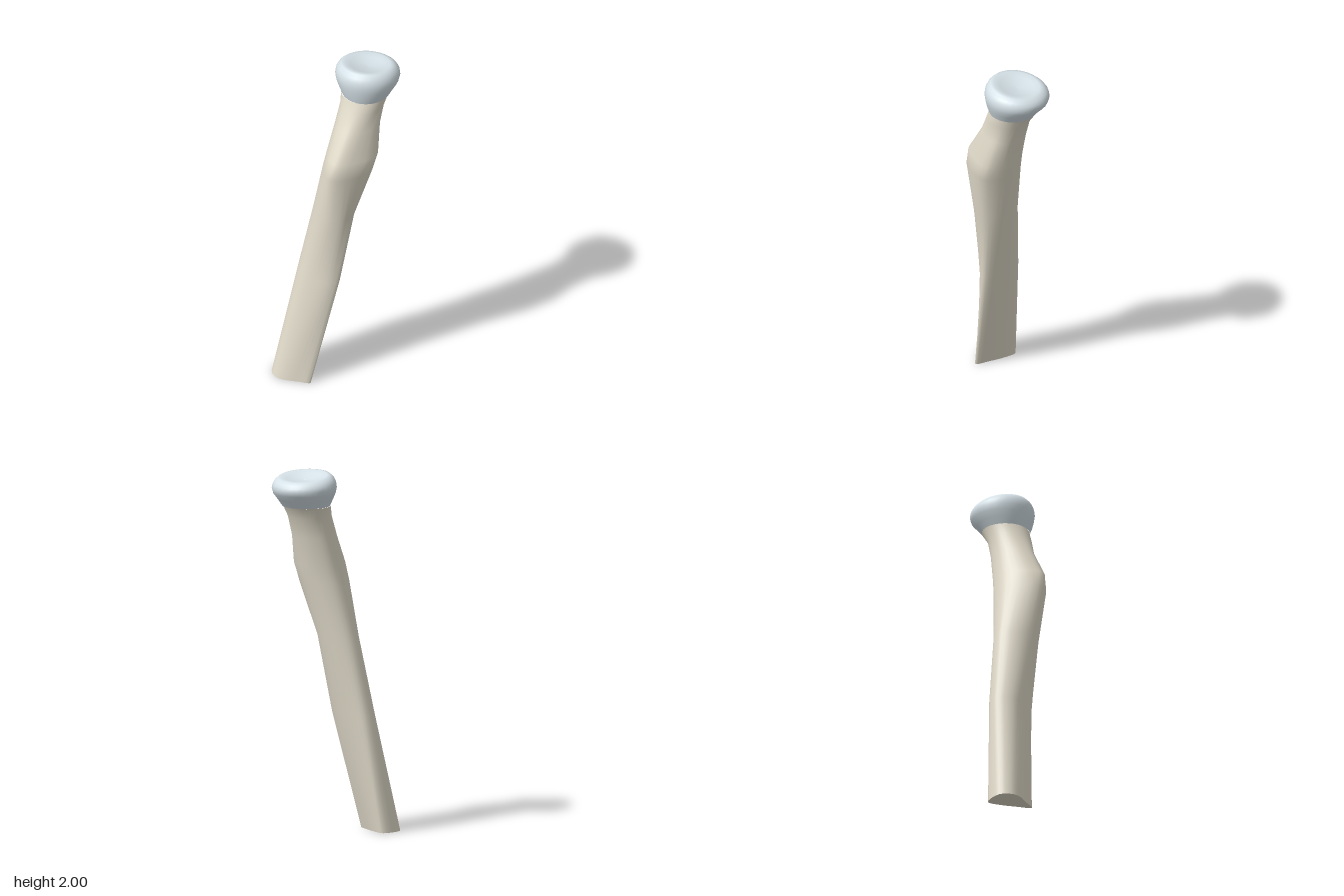
import * as THREE from 'three';

const SIDES = 32;
const { smoothstep } = THREE.MathUtils;

// Skin a stack of equal-length rings (bottom to top); optional flat cap below
function loft(rings, capBottom) {
  const pos = [], idx = [];
  const n = SIDES;
  rings.forEach(r => r.forEach(p => pos.push(p.x, p.y, p.z)));
  for (let i = 0; i < rings.length - 1; i++) {
    for (let j = 0; j < n; j++) {
      const a = i * n + j, b = i * n + (j + 1) % n;
      idx.push(a, a + n, b, b, a + n, b + n);
    }
  }
  if (capBottom) {
    const base = pos.length / 3;
    const mid = new THREE.Vector3();
    rings[0].forEach(p => { pos.push(p.x, p.y, p.z); mid.addScaledVector(p, 1 / n); });
    pos.push(mid.x, mid.y, mid.z);
    for (let j = 0; j < n; j++) idx.push(base + n, base + j, base + (j + 1) % n);
  }
  const g = new THREE.BufferGeometry();
  g.setAttribute('position', new THREE.Float32BufferAttribute(pos, 3));
  g.setIndex(idx);
  g.computeVertexNormals();
  return g;
}

// Closed smooth section through [x, z] points
function section(y, pts) {
  const curve = new THREE.CatmullRomCurve3(pts.map(([x, z]) => new THREE.Vector3(x, y, z)), true);
  return Array.from({ length: SIDES }, (_, j) => curve.getPoint(j / SIDES));
}

// Round section, tilted so the front sits higher
function disc(y, cx, cz, r, tilt = 0) {
  return Array.from({ length: SIDES }, (_, j) => {
    const a = (j / SIDES) * Math.PI * 2;
    const z = Math.sin(a) * r;
    return new THREE.Vector3(cx + Math.cos(a) * r, y + z * tilt, cz + z);
  });
}

export function createModel() {
  const group = new THREE.Group();
  const add = (name, geometry, color) => {
    const mesh = new THREE.Mesh(geometry, new THREE.MeshStandardMaterial({ color }));
    mesh.name = name;
    group.add(mesh);
  };

  // Shaft sections: left tip, front, right tip, then round the back
  const lower = [
    section(0, [[-.06, .235], [-.13, .252], [-.23, .268], [-.275, .25], [-.308, .195], [-.26, .085], [-.19, .12], [-.12, .178]]),
    section(.65, [[.065, .13], [.03, .168], [-.06, .18], [-.15, .165], [-.2, .1], [-.17, .028], [-.08, .025], [.02, .07]]),
    section(1.08, [[.13, .09], [.1, .165], [.03, .197], [-.06, .16], [-.115, .07], [-.09, 0], [-.01, -.028], [.09, .01]]),
  ];
  // Front bulge, then the round neck below the head
  const upper = [
    section(1.38, [[.222, .06], [.13, .195], [.055, .229], [0, .19], [-.055, .06], [-.03, -.04], [.06, -.08], [.165, -.05]]),
    section(1.48, [[.245, .03], [.15, .17], [.075, .21], [.01, .165], [-.035, .045], [-.01, -.06], [.08, -.097], [.18, -.067]]),
    section(1.64, [[.23, -.015], [.18, .075], [.105, .12], [.03, .09], [-.01, 0], [.02, -.095], [.1, -.133], [.2, -.095]]),
    disc(1.75, .122, -.045, .12),
    disc(1.81, .125, -.075, .13),
  ];
  add('shaft', loft([...lower, ...upper], true), 0xe2dccb);

  // Rounded head with a shallow dish on top: [height, radius], tilting towards the rim
  const profile = [
    [1.81, .13], [1.85, .152], [1.885, .171], [1.915, .178], [1.94, .174], [1.96, .163],
    [1.976, .145], [1.979, .125], [1.97, .095], [1.959, .05], [1.956, .001],
  ];
  const head = profile.map(([y, r], i) =>
    disc(y, .13, -.075 - .025 * smoothstep(y, 1.81, 1.9), r, .14 * smoothstep(i, 1, 7)));
  add('headCap', loft(head, false), 0xd6e2e8);

  return group;
}
